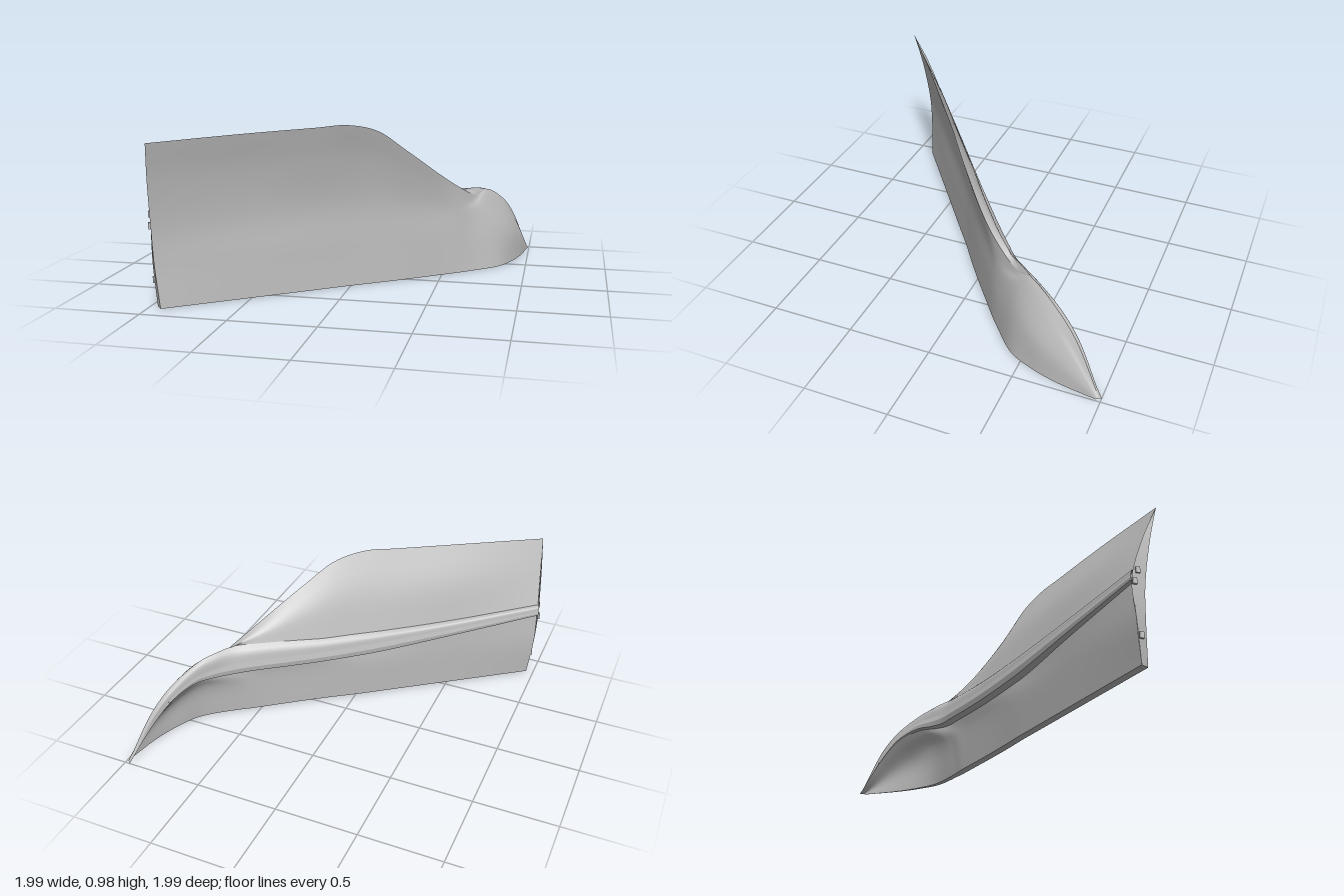
import * as THREE from 'three';

const V = (p) => new THREE.Vector3(...p);
// Moves a rail by an offset that can fade out along the stations
const shift = (rail, d, fade = () => 1) => rail.map((p, i) => p.map((v, k) => v + d[k] * fade(i)));
const between = (a, b) => a.map((p, i) => p.map((v, k) => (v + b[i][k]) / 2));

// Smooth surface lofted across a list of rails that share stations
function loft(rails, nu, nv) {
  const curves = rails.map((r) => new THREE.CatmullRomCurve3(r.map(V)));
  const pos = [], index = [];
  for (let i = 0; i <= nu; i++) {
    const section = new THREE.CatmullRomCurve3(curves.map((c) => c.getPoint(i / nu)));
    for (let j = 0; j <= nv; j++) pos.push(...section.getPoint(j / nv).toArray());
  }
  for (let i = 0; i < nu; i++) {
    for (let j = 0; j < nv; j++) {
      const a = i * (nv + 1) + j, b = a + nv + 1;
      index.push(a, b, b + 1, a, b + 1, a + 1);
    }
  }
  const g = new THREE.BufferGeometry();
  g.setAttribute('position', new THREE.Float32BufferAttribute(pos, 3));
  g.setIndex(index);
  g.computeVertexNormals();
  return g;
}

export function createModel() {
  const group = new THREE.Group();
  const grey = new THREE.MeshStandardMaterial({ color: 0xc0c0c0, side: THREE.DoubleSide });
  grey.name = 'panel grey';
  const add = (name, geometry) => {
    const m = new THREE.Mesh(geometry, grey);
    m.name = name;
    group.add(m);
    return m;
  };

  // Rails of the outer skin, from the bottom edge to the top edge
  const bottom = [[-0.925, 0, 0.885], [-0.5, 0, 0.575], [-0.15, 0, 0.32], [0.01, 0, 0.203], [0.16, 0, 0.1], [0.3, 0, 0],
    [0.5, 0, -0.15], [0.58, 0, -0.21], [0.66, 0, -0.275], [0.83, 0, -0.43], [0.9, 0, -0.57], [0.95, 0, -0.73], [0.99, 0, -0.97]];
  const low = [[-0.95, 0.25, 0.89], [-0.5, 0.25, 0.57], [-0.15, 0.25, 0.315], [0.01, 0.25, 0.198], [0.16, 0.25, 0.094], [0.3, 0.25, -0.005],
    [0.5, 0.25, -0.157], [0.58, 0.23, -0.222], [0.655, 0.23, -0.295], [0.79, 0.25, -0.44], [0.885, 0.2, -0.585], [0.94, 0.14, -0.745], [0.99, 0.004, -0.975]];
  const waist = [[-0.957, 0.45, 0.9], [-0.5, 0.48, 0.568], [-0.15, 0.5, 0.315], [0.01, 0.5, 0.2], [0.16, 0.5, 0.095], [0.3, 0.47, -0.007],
    [0.5, 0.42, -0.165], [0.585, 0.39, -0.24], [0.665, 0.39, -0.34], [0.745, 0.41, -0.455], [0.85, 0.33, -0.62], [0.915, 0.23, -0.77], [0.988, 0.008, -0.98]];
  const upper = [[-0.95, 0.72, 0.942], [-0.5, 0.74, 0.612], [-0.15, 0.76, 0.37], [0.01, 0.77, 0.255], [0.16, 0.74, 0.142], [0.3, 0.655, 0.028],
    [0.5, 0.535, -0.152], [0.593, 0.465, -0.255], [0.673, 0.437, -0.38], [0.735, 0.465, -0.48], [0.835, 0.38, -0.655], [0.9, 0.26, -0.79], [0.985, 0.008, -0.985]];
  const top = [[-0.93, 0.937, 0.99], [-0.5, 0.96, 0.68], [-0.15, 0.974, 0.437], [0.01, 0.98, 0.326], [0.16, 0.936, 0.205], [0.3, 0.815, 0.075],
    [0.5, 0.625, -0.135], [0.6, 0.532, -0.27], [0.68, 0.468, -0.405], [0.735, 0.49, -0.51], [0.83, 0.4, -0.69], [0.893, 0.28, -0.82], [0.982, 0.005, -0.99]];
  add('outerSkin', loft([bottom, low, waist, upper, top], 120, 32));

  // Inner skin from the top edge back down to the shoulder, which passes behind the sloping edge
  const shoulder = [[-0.975, 0.53, 0.86], [-0.5, 0.5, 0.5], [-0.15, 0.49, 0.24], [0.01, 0.49, 0.123], [0.16, 0.49, 0.01], [0.3, 0.5, -0.09],
    [0.5, 0.515, -0.24], [0.6, 0.52, -0.32], [0.68, 0.51, -0.43], ...top.slice(9)];
  const middle = shift(between(top, shoulder), [-0.012, 0, -0.018], (i) => (i > 0 && i < 8 ? 1 : 0));
  add('innerSkin', loft([top, middle, shoulder].map((r) => r.slice(0, 10)), 90, 8));

  // Rolled shoulder, running out along the tail
  const lipTop = [[-0.99, 0.5, 0.83], [-0.5, 0.455, 0.455], [-0.15, 0.43, 0.193], [0.01, 0.42, 0.073], [0.16, 0.415, -0.04], [0.3, 0.415, -0.145],
    [0.5, 0.42, -0.3], [0.6, 0.42, -0.385], [0.67, 0.42, -0.47], [0.735, 0.41, -0.575], [0.805, 0.345, -0.71], [0.87, 0.235, -0.825], [0.97, 0, -1]];
  const crown = shift(between(shoulder, lipTop), [-0.006, 0.012, -0.01], (i) => (i < 12 ? 1 : 0));
  add('shoulder', loft([shoulder, crown, lipTop], 120, 6));

  // Stepped lip under the shoulder
  const drop = [0.03, 0.05, 0.07, 0.07, 0.07, 0.07, 0.07, 0.07, 0.06, 0.04, 0.02, 0.01, 0];
  const lipBottom = shift(lipTop, [0, -1, 0], (i) => drop[i]);
  const lipMiddle = shift(between(lipTop, lipBottom), [-0.06, 0, -0.08], (i) => drop[i]);
  const lipReturn = shift(lipBottom, [0.35, -0.15, 0.5], (i) => drop[i]);
  add('lipUpper', loft([lipTop, lipMiddle], 100, 1));
  add('lipLower', loft([lipMiddle, lipBottom], 100, 1));
  add('lipReturn', loft([lipBottom, lipReturn], 100, 1));

  // Lower inner skin and the narrow flange joining it to the bottom edge
  const fade = (i) => Math.min(1, (12 - i) / 5);
  const hem = shift(bottom, [-0.03, 0.004, -0.032], fade);
  const innerLow = shift(low, [-0.031, 0, -0.048], fade);
  add('lowerInnerSkin', loft([lipReturn, innerLow, hem], 120, 12));
  add('bottomFlange', loft([hem, bottom], 120, 1));

  // Flange closing the leading end
  const front = [bottom, low, waist, upper, top].map((r) => r[0]);
  const rear = [hem[0], innerLow[0], [-0.99, 0.47, 0.83], [-0.965, 0.72, 0.9], top[0]];
  add('endFlange', loft([front, rear], 32, 1));

  // Small fixing clips on the end flange
  for (const [x, y, z] of [[-0.978, 0.53, 0.865], [-0.99, 0.46, 0.845], [-0.968, 0.16, 0.862]]) {
    const clip = add('clip', new THREE.BoxGeometry(0.012, 0.035, 0.025));
    clip.position.set(x, y, z);
    clip.rotation.y = 0.4;
  }
  return group;
}
